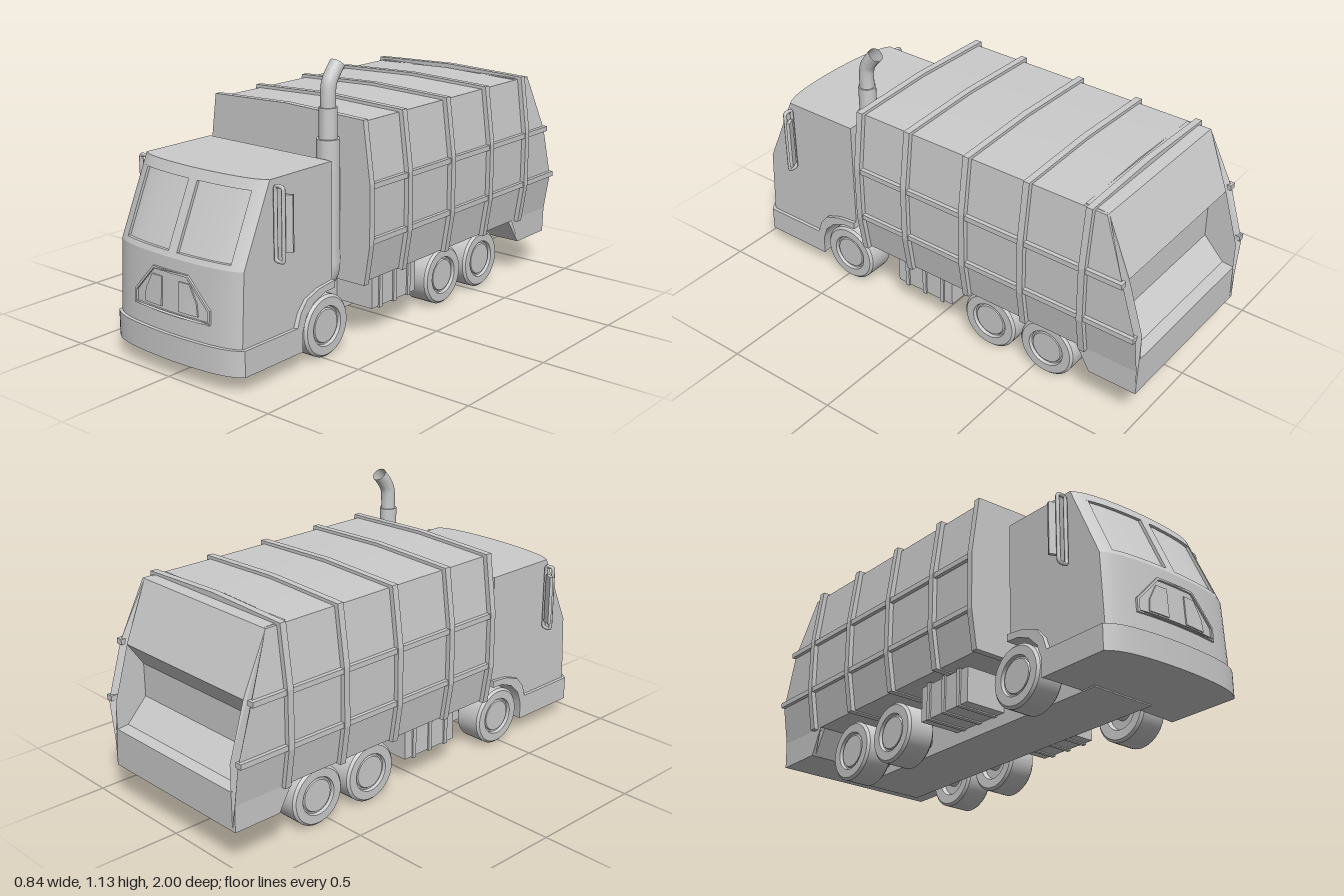
import * as THREE from 'three';
import { toCreasedNormals } from 'three/addons/utils/BufferGeometryUtils.js';

const material = new THREE.MeshStandardMaterial({ color: 0xcccccc, side: THREE.DoubleSide });
const shapeOf = pts => new THREE.Shape(pts.map(p => new THREE.Vector2(...p)));
const mirrored = pts => [...pts, ...[...pts].reverse().map(([x, y]) => [-x, y])];

// Piecewise linear lookup in a list of [y, value]
function lookup(table, y) {
  for (let i = 1; i < table.length; i++) {
    const [a, va] = table[i - 1], [b, vb] = table[i];
    if (y <= b || i === table.length - 1) return va + (vb - va) * (y - a) / (b - a);
  }
}

// Move every vertex by a rule
function warp(geo, rule) {
  const p = geo.attributes.position, v = new THREE.Vector3();
  for (let i = 0; i < p.count; i++) {
    rule(v.fromBufferAttribute(p, i));
    p.setXYZ(i, v.x, v.y, v.z);
  }
  return geo;
}

// Side profile of [z, y] points, extruded across the width
function across(pts, width, steps = 1) {
  return new THREE.ExtrudeGeometry(shapeOf(pts), { depth: width, steps, bevelEnabled: false })
    .rotateY(-Math.PI / 2).translate(width / 2, 0, 0);
}

// Cross-section of [x, y] points, running from back(y) to front(y)
function along(pts, back, front) {
  const geo = new THREE.ExtrudeGeometry(shapeOf(pts), { depth: 1, bevelEnabled: false });
  return warp(geo, v => { v.z = back(v.y) + (front(v.y) - back(v.y)) * v.z; });
}

const box = (w, h, d, x, y, z) => new THREE.BoxGeometry(w, h, d).translate(x, y, z);
const cylinder = (r, y0, y1, x, z) =>
  new THREE.CylinderGeometry(r, r, y1 - y0, 32).translate(x, (y0 + y1) / 2, z);

// Bowed cab front
const bow = x => { const u = Math.abs(x) / 0.32; return 0.03 * u ** 2 + 0.02 * u ** 8; };
const frontLine = [[0.07, 0.99], [0.17, 0.985], [0.46, 0.97], [0.77, 0.83]];
const frontZ = (x, y) => lookup(frontLine, y) - bow(x);
const bowed = geo => warp(geo, v => {
  v.z -= bow(v.x) * THREE.MathUtils.clamp((v.z - 0.62) / 0.12, 0, 1);
});
const onFront = geo => warp(geo, v => { v.z += frontZ(v.x, v.y); });

// Split polygon edges so that they follow the bowed front
const split = (pts, n) => pts.flatMap((p, i) => {
  const q = pts[(i + 1) % pts.length];
  return Array.from({ length: n }, (_, k) => [p[0] + (q[0] - p[0]) * k / n, p[1] + (q[1] - p[1]) * k / n]);
});

export function createModel() {
  const model = new THREE.Group();
  const add = (name, geo, crease = 0.5) => {
    const mesh = new THREE.Mesh(toCreasedNormals(geo, crease), material);
    mesh.name = name;
    model.add(mesh);
    return mesh;
  };

  // Chassis
  add('chassis', box(0.29, 0.21, 1.43, 0, 0.17, -0.015));

  // Refuse body
  const side = [[0.375, 0.27], [0.4, 0.43], [0.4, 0.66], [0.368, 0.905]];
  add('refuseBody', along(mirrored([...side, [0, 0.917]]), () => -0.73, () => 0.32), 0.1);

  // Tailgate cheeks and hopper
  const tailBack = [[0.16, -1], [0.43, -1], [0.66, -0.93], [0.905, -0.83]];
  const tailFront = [[0.16, -0.79], [0.27, -0.73], [0.905, -0.73]];
  const cheek = [[0.372, 0.16], ...side];
  for (const s of [1, -1]) {
    const outline = [...cheek, ...[...cheek].reverse().map(p => [0.355, p[1]])].map(([x, y]) => [s * x, y]);
    add('tailgateCheek', along(outline, y => lookup(tailBack, y), y => lookup(tailFront, y)), 0.1);
  }
  add('hopper', across([[-0.73, 0.27], [-0.79, 0.16], [-1, 0.16], [-1, 0.32], [-0.95, 0.325], [-0.86, 0.42],
    [-0.86, 0.56], [-0.93, 0.66], [-0.83, 0.905], [-0.73, 0.91]], 0.712), 0.1);

  // Body ribs
  const rib = [[0.394, 0.265], [0.42, 0.43], [0.42, 0.67], [0.386, 0.917]];
  for (const z of [0.322, 0.08, -0.21, -0.49, -0.765])
    add('verticalRib', along(mirrored([...rib, [0, 0.93]]), () => z - 0.014, () => z + 0.014), 0.1);
  for (const s of [1, -1])
    for (const [y, end] of [[0.44, -0.998], [0.66, -0.935]])
      add('horizontalRib', box(0.03, 0.022, 0.325 - end, s * 0.401, y, (0.325 + end) / 2));

  // Cab shell, with the windscreen set back
  const set = 0.013;
  add('cab', bowed(across([[0.44, 0.29], [0.53, 0.275], [0.6, 0.24], [0.66, 0.165], [0.985, 0.165],
    [0.97, 0.46], [0.97 - set, 0.46], [0.83 - set, 0.77], [0.44, 0.77]], 0.64, 32)));

  // Bumper running into the wheel arches
  add('bumperAndArches', bowed(across([[0.635, 0.07], [1, 0.07], [1, 0.172], [0.69, 0.172], [0.655, 0.225],
    [0.6, 0.27], [0.53, 0.295], [0.44, 0.305], [0.44, 0.275], [0.5, 0.272], [0.56, 0.248], [0.605, 0.205],
    [0.63, 0.15]], 0.67, 32)), 0.6);

  // Windscreen surround
  const bar = (x0, x1, y0, y1) => add('windscreenSurround', onFront(
    new THREE.BoxGeometry(x1 - x0, y1 - y0, 0.018, Math.ceil((x1 - x0) / 0.02), 1, 1)
      .translate((x0 + x1) / 2, (y0 + y1) / 2, -0.009)));
  bar(-0.32, 0.32, 0.46, 0.48);
  bar(-0.32, 0.32, 0.73, 0.77);
  bar(-0.022, 0.022, 0.48, 0.73);
  bar(0.27, 0.32, 0.48, 0.73);
  bar(-0.32, -0.27, 0.48, 0.73);

  // Grille frame and lamp panels
  const raised = (name, outer, hole, depth) => {
    const shape = shapeOf(split(outer, 8));
    if (hole) shape.holes.push(shapeOf(split(hole, 8)));
    add(name, onFront(new THREE.ExtrudeGeometry(shape, { depth: depth + 0.01, bevelEnabled: false })
      .translate(0, 0, -0.01)));
  };
  raised('grilleFrame', mirrored([[0.197, 0.245], [0.197, 0.3], [0.09, 0.413]]),
    mirrored([[0.187, 0.254], [0.187, 0.297], [0.086, 0.404]]), 0.008);
  for (const s of [1, -1])
    raised('lampPanel', [[0.045, 0.265], [0.14, 0.265], [0.133, 0.315], [0.098, 0.38], [0.045, 0.38]]
      .map(([x, y]) => [s * x, y]), null, 0.005);

  // Mirrors on looped brackets
  for (const s of [1, -1]) {
    const loop = new THREE.CurvePath();
    const corners = [[0.332, 0.748], [0.37, 0.748], [0.37, 0.466], [0.332, 0.466]]
      .map(([x, y]) => new THREE.Vector3(s * x, y, 0.765));
    corners.forEach((c, i) => {
      const a = corners[(i + 3) % 4], b = corners[(i + 1) % 4], r = 0.012;
      const toward = (p, q) => p.clone().add(q.clone().sub(p).setLength(r));
      loop.add(new THREE.QuadraticBezierCurve3(toward(c, a), c, toward(c, b)));
      loop.add(new THREE.LineCurve3(toward(c, b), toward(b, c)));
    });
    add('mirrorBracket', new THREE.TubeGeometry(loop, 120, 0.008, 8, true), 1);
    add('mirror', new THREE.BoxGeometry(0.042, 0.215, 0.014).rotateY(s * 0.45)
      .translate(s * 0.37, 0.61, 0.742));
  }

  // Exhaust stack
  const ex = 0.26, ez = 0.39;
  const elbow = new THREE.CatmullRomCurve3([[0.13, 0.28], [0.2, 0.28], [0.243, 0.29], [ex, 0.33], [ex, 0.4]]
    .map(([x, y]) => new THREE.Vector3(x, y, ez)));
  add('exhaustElbow', new THREE.TubeGeometry(elbow, 24, 0.045, 24), 1);
  add('exhaustMuffler', cylinder(0.046, 0.35, 0.84, ex, ez));
  add('exhaustCollar', cylinder(0.036, 0.84, 0.96, ex, ez));
  const tip = new THREE.CatmullRomCurve3([[0.94, ez], [1.0, ez], [1.05, 0.384], [1.085, 0.363], [1.118, 0.335]]
    .map(([y, z]) => new THREE.Vector3(ex, y, z)));
  add('exhaustTip', new THREE.TubeGeometry(tip, 24, 0.03, 24), 1);

  // Wheels and axles
  const wheelProfile = [[0, -0.04], [0.07, -0.04], [0.076, -0.06], [0.115, -0.063], [0.125, -0.053],
    [0.125, 0.053], [0.115, 0.063], [0.08, 0.063], [0.076, 0.05], [0.07, 0.05], [0.066, 0.057], [0, 0.057]]
    .map(p => new THREE.Vector2(...p));
  for (const z of [0.48, -0.28, -0.56]) {
    for (const s of [1, -1])
      add('wheel', new THREE.LatheGeometry(wheelProfile, 40).rotateZ(-s * Math.PI / 2)
        .translate(s * 0.267, 0.128, z));
    add('axle', new THREE.CylinderGeometry(0.035, 0.035, 0.5, 20).rotateZ(Math.PI / 2).translate(0, 0.128, z));
  }

  // Side tanks with straps
  for (const s of [1, -1]) {
    add('sideTank', box(0.18, 0.145, 0.285, s * 0.235, 0.187, 0.058));
    for (const z of [0.15, 0.058, -0.035])
      add('tankStrap', box(0.19, 0.155, 0.018, s * 0.237, 0.187, z));
  }

  return model;
}
